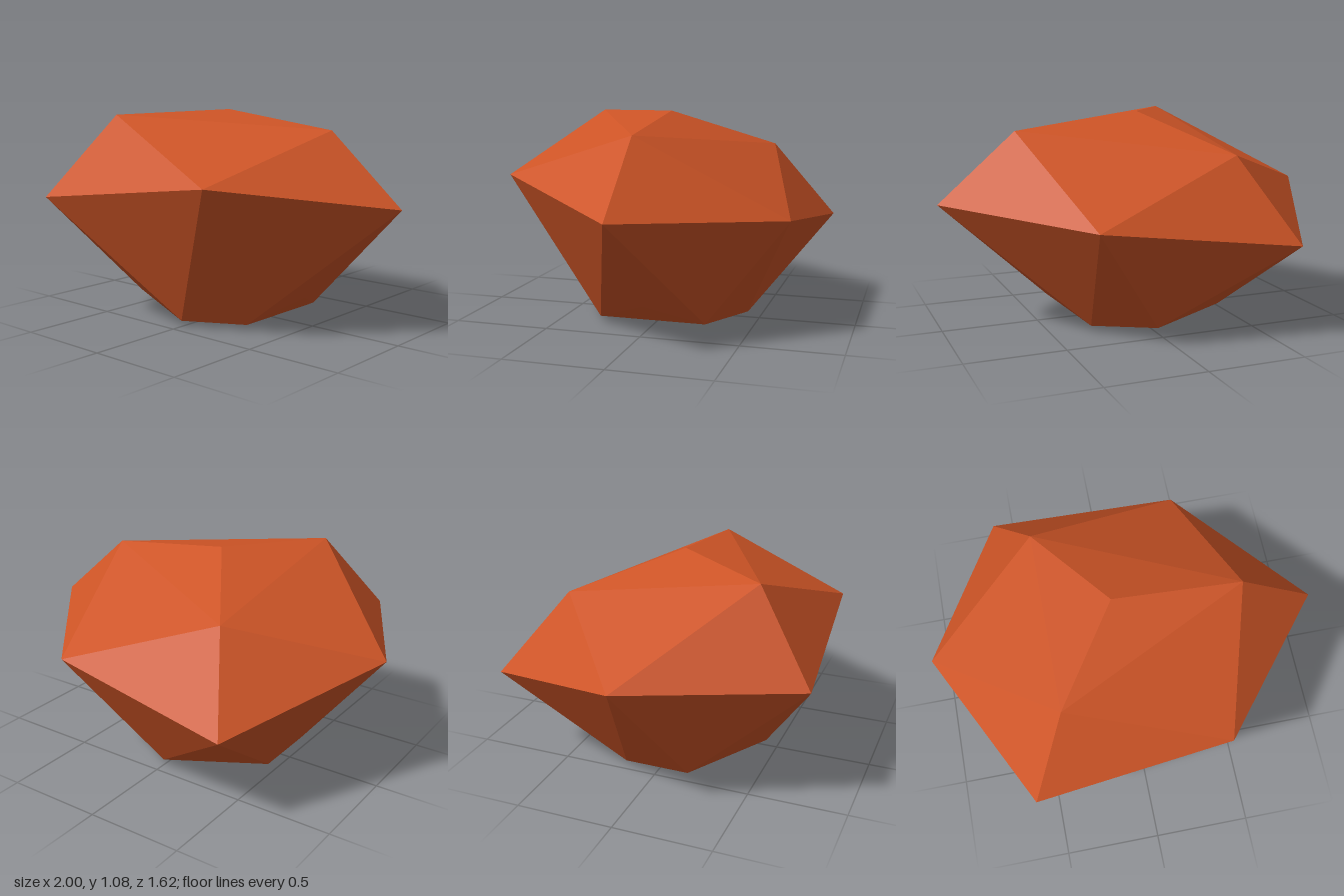
import * as THREE from 'three';
import { ConvexGeometry } from 'three/addons/geometries/ConvexGeometry.js';

// Corners of the boulder, layer by layer
const layers = {
  top: [[-0.06, 1.08, 0]],
  shoulder: [[0.6, 1.0, 0], [-0.39, 1.06, 0.5], [-0.39, 0.89, -0.5]],
  girdle: [
    [1, 0.65, 0], [0.41, 0.77, 0.72], [-0.59, 0.65, 0.81],
    [-1, 0.68, 0], [-0.59, 0.48, -0.81], [0.41, 0.6, -0.72],
  ],
  base: [[0.05, 0, 0], [0.45, 0.14, 0]],
};

// Base corners that repeat on both sides of z = 0
const mirroredBase = [[0.3, 0.03, 0.28], [0, 0.03, 0.44], [-0.31, 0.14, 0.42], [-0.47, 0.03, 0.17]];
for (const [x, y, z] of mirroredBase) layers.base.push([x, y, z], [x, y, -z]);

export function createModel() {
  const group = new THREE.Group();
  group.name = 'rock';

  const rust = new THREE.MeshStandardMaterial({ color: 0xcd5426 });
  rust.name = 'rustStone';
  rust.flatShading = true;

  // Faceted boulder wrapped around the corners
  const points = Object.values(layers).flat().map((p) => new THREE.Vector3(...p));
  const boulder = new THREE.Mesh(new ConvexGeometry(points), rust);
  boulder.name = 'boulder';
  group.add(boulder);

  return group;
}
